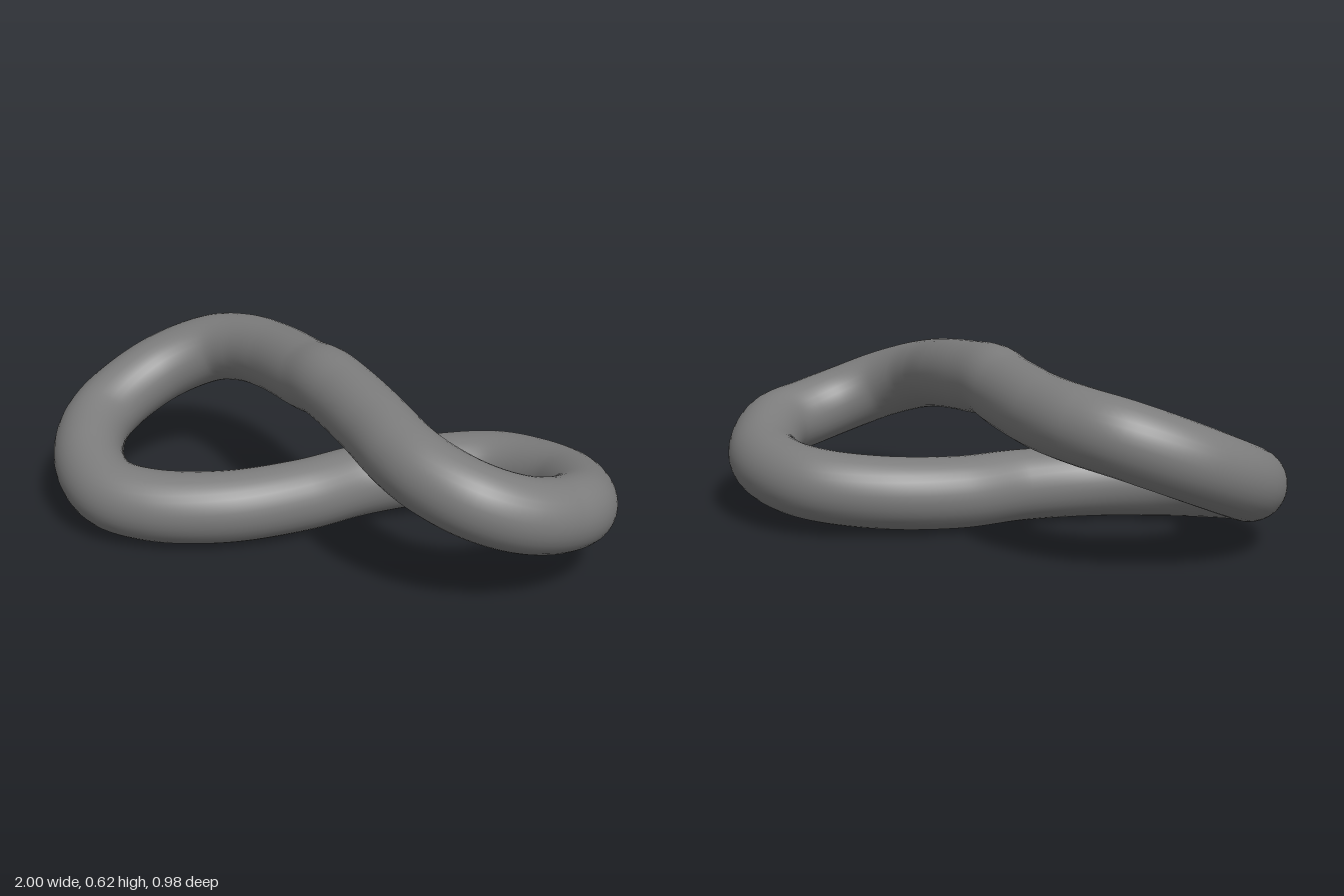
import * as THREE from 'three';

export function createModel() {
  const group = new THREE.Group();
  group.name = 'figureEight';

  // Centre line of the twisted ring: over strand, right bend, under strand, left bend
  const points = [
    [-0.63, 0.42, -0.345], [-0.49, 0.445, -0.342], [-0.33, 0.459, -0.272], [-0.12, 0.48, -0.12],
    [-0.02, 0.497, -0.045], [0.1, 0.487, 0.04], [0.25, 0.467, 0.155], [0.39, 0.44, 0.262],
    [0.51, 0.41, 0.317], [0.65, 0.365, 0.322], [0.765, 0.315, 0.255], [0.845, 0.275, 0.14],
    [0.88, 0.25, 0], [0.77, 0.2, -0.235], [0.62, 0.175, -0.34], [0.46, 0.16, -0.37],
    [0.26, 0.14, -0.29], [0.07, 0.127, -0.125], [-0.06, 0.125, 0.07], [-0.25, 0.122, 0.255],
    [-0.47, 0.126, 0.357], [-0.63, 0.14, 0.358], [-0.79, 0.182, 0.235], [-0.88, 0.242, 0.01],
    [-0.795, 0.345, -0.23],
  ].map((p) => new THREE.Vector3(...p));
  const path = new THREE.CatmullRomCurve3(points, true);

  // Smooth round tube swept along the closed path
  const tube = new THREE.Mesh(
    new THREE.TubeGeometry(path, 240, 0.12, 32, true),
    new THREE.MeshStandardMaterial({ color: 0x7c7c7c })
  );
  tube.name = 'twistedRing';
  group.add(tube);

  // Rest on the ground
  tube.geometry.computeBoundingBox();
  tube.position.y = -tube.geometry.boundingBox.min.y;
  return group;
}
